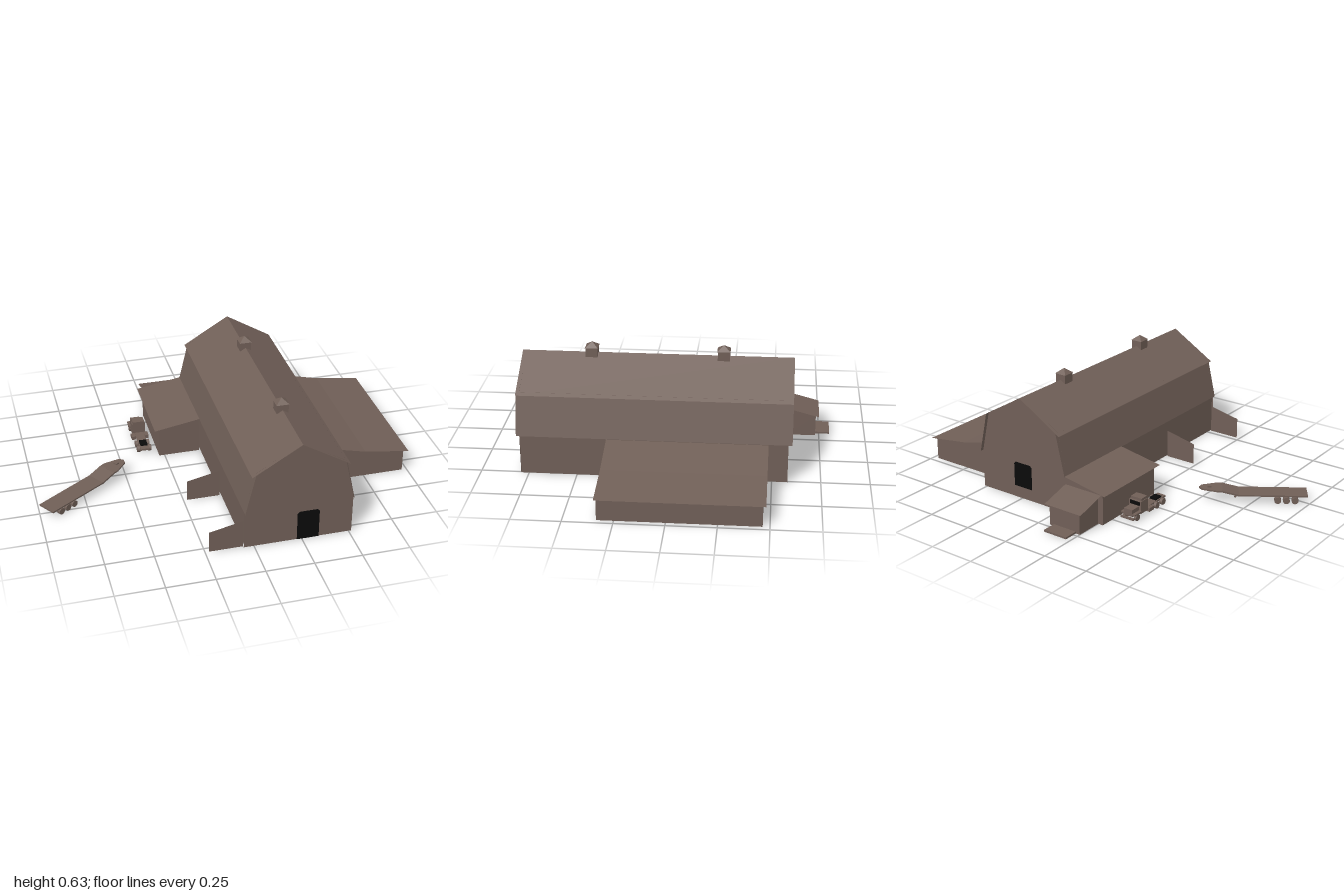
import * as THREE from 'three';

const brown = new THREE.MeshStandardMaterial({ color: 0x705f57, side: THREE.DoubleSide });
brown.name = 'weathered brown';
const black = new THREE.MeshStandardMaterial({ color: 0x0a0a0a, side: THREE.DoubleSide });
black.name = 'black opening';

function add(parent, name, geometry, material = brown, x = 0, y = 0, z = 0) {
  const mesh = new THREE.Mesh(geometry, material);
  mesh.name = name;
  mesh.position.set(x, y, z);
  parent.add(mesh);
  return mesh;
}

// Flat sheet from corner points, fanned from the first corner
function sheet(parent, name, pts) {
  const pos = [];
  for (let i = 1; i < pts.length - 1; i++) pos.push(...pts[0], ...pts[i], ...pts[i + 1]);
  const g = new THREE.BufferGeometry();
  g.setAttribute('position', new THREE.Float32BufferAttribute(pos, 3));
  g.computeVertexNormals();
  return add(parent, name, g);
}

// Upright cross wall with an outline in x and y
const crossWall = (p, name, outline, z) => sheet(p, name, outline.map(([x, y]) => [x, y, z]));

// Sheets following an x/y path between two depths
function sweep(parent, name, path, z0, z1) {
  for (let i = 0; i < path.length - 1; i++) {
    const [a, b] = [path[i], path[i + 1]];
    sheet(parent, name, [[...a, z0], [...a, z1], [...b, z1], [...b, z0]]);
  }
}

// Box given by its minimum and maximum corners
function box(parent, name, a, b, material = brown) {
  const s = a.map((v, i) => b[i] - v);
  return add(parent, name, new THREE.BoxGeometry(...s), material,
    (a[0] + b[0]) / 2, (a[1] + b[1]) / 2, (a[2] + b[2]) / 2);
}

// Thin black opening with clipped upper corners
function opening(parent, name, w, h, x, y, z, turn = 0) {
  const s = new THREE.Shape([[-w / 2, 0], [w / 2, 0], [w / 2, h - 0.01], [w / 2 - 0.01, h],
    [-w / 2 + 0.01, h], [-w / 2, h - 0.01]].map(p => new THREE.Vector2(...p)));
  const g = new THREE.ExtrudeGeometry(s, { depth: 0.006, bevelEnabled: false });
  g.translate(0, 0, -0.003);
  add(parent, name, g, black, x, y, z).rotation.y = turn;
}

function wheel(parent, x, y, z, r, w, alongX) {
  const g = new THREE.CylinderGeometry(r, r, w, 12);
  if (alongX) g.rotateZ(Math.PI / 2); else g.rotateX(Math.PI / 2);
  add(parent, 'wheel', g, brown, x, y, z);
}

function buildBarn() {
  const barn = new THREE.Group();
  barn.name = 'barn';
  const L = -0.053, R = 0.515, mid = 0.232, zf = 0.79, zb = -0.58;
  const gable = [[L, 0], [R, 0], [R, 0.21], [0.465, 0.435], [mid, 0.572], [0, 0.435], [L, 0.21]];
  crossWall(barn, 'frontWall', gable, zf);
  crossWall(barn, 'backWall', gable, zb);
  sweep(barn, 'rightWall', [[-0.045, 0], [-0.045, 0.24]], zb, zf);
  sweep(barn, 'leftWall', [[0.507, 0], [0.507, 0.24]], zb, zf);
  sweep(barn, 'loftFloor', [[-0.045, 0.212], [0.507, 0.212]], zb, zf);

  // Gambrel roof, the upper slopes lapping over the lower ones
  sweep(barn, 'upperRoof', [[-0.02, 0.422], [mid, 0.573], [0.484, 0.422]], -0.6, 0.808);
  sweep(barn, 'lowerRoof', [[L, 0.21], [0, 0.434]], -0.6, 0.808);
  sweep(barn, 'lowerRoof', [[R, 0.21], [0.465, 0.434]], -0.6, 0.808);

  // Doors
  opening(barn, 'frontDoor', 0.115, 0.166, 0.282, 0, zf);
  opening(barn, 'backDoor', 0.115, 0.135, 0.24, 0.065, zb);

  // Inner partitions with doorways
  for (const [z, x] of [[0.6, 0.07], [0.32, 0.12], [0.1, 0.08], [-0.25, 0.1]]) {
    crossWall(barn, 'partition', [[-0.045, 0], [0.507, 0], [0.507, 0.212], [-0.045, 0.212]], z);
    opening(barn, 'innerDoor', 0.1, 0.14, x, 0.01, z);
  }

  // Short wing walls on the right side
  for (const z of [zf - 0.01, 0.32])
    crossWall(barn, 'wingWall', [[L, 0], [L, 0.155], [-0.23, 0.117], [-0.23, 0]], z);

  // Ridge cupolas
  for (const z of [0.445, -0.237]) {
    box(barn, 'cupola', [mid - 0.031, 0.553, z - 0.031], [mid + 0.031, 0.605, z + 0.031]);
    const cap = new THREE.ConeGeometry(0.034 * Math.SQRT2, 0.027, 4).toNonIndexed();
    cap.rotateY(Math.PI / 4);
    cap.computeVertexNormals();
    add(barn, 'cupolaRoof', cap, brown, mid, 0.6175, z);
  }
  return barn;
}

function buildSheds() {
  const sheds = new THREE.Group();
  sheds.name = 'sheds';
  // Large lean-to on the left with a bent roof
  const end = [[0.524, 0], [0.973, 0], [0.973, 0.124], [0.75, 0.155], [0.524, 0.21]];
  for (const z of [0.335, -0.465]) crossWall(sheds, 'largeShedEnd', end, z);
  sweep(sheds, 'largeShedOuterWall', [[0.973, 0], [0.973, 0.124]], -0.465, 0.335);
  sweep(sheds, 'largeShedInnerWall', [[0.524, 0], [0.524, 0.21]], -0.465, 0.335);
  sweep(sheds, 'largeShedRoof', [[0.524, 0.212], [0.75, 0.157], [1, 0.121]], -0.48, 0.343);
  for (const z of [-0.25, -0.02, 0.2])
    opening(sheds, 'largeShedDoor', 0.08, 0.1, 0.524, 0.01, z, Math.PI / 2);

  // Small lean-to on the right
  const small = [[-0.053, 0], [-0.053, 0.211], [-0.28, 0.174], [-0.28, 0]];
  for (const z of [-0.135, -0.58]) crossWall(sheds, 'smallShedEnd', small, z);
  sweep(sheds, 'smallShedOuterWall', [[-0.28, 0], [-0.28, 0.174]], -0.58, -0.135);
  sweep(sheds, 'smallShedRoof', [[-0.053, 0.213], [-0.305, 0.171]], -0.6, -0.118);

  // Back porch room with sloping roof
  const [a, b] = [-0.25, -0.06];
  for (const x of [a, b])
    sheet(sheds, 'annexSide', [[x, 0, -0.58], [x, 0, -0.73], [x, 0.12, -0.73], [x, 0.16, -0.58]]);
  crossWall(sheds, 'annexBack', [[a, 0], [b, 0], [b, 0.12], [a, 0.12]], -0.73);
  sheet(sheds, 'annexRoof', [[-0.27, 0.162, -0.58], [-0.042, 0.162, -0.58],
    [-0.042, 0.117, -0.748], [-0.27, 0.117, -0.748]]);
  box(sheds, 'step', [-0.225, 0, -0.808], [-0.085, 0.01, -0.73]);
  return sheds;
}

function buildTruck() {
  const truck = new THREE.Group();
  truck.name = 'truck';
  truck.position.x = -0.352;
  box(truck, 'frame', [-0.025, 0.026, -0.46], [0.025, 0.036, -0.167]);
  box(truck, 'hood', [-0.026, 0.03, -0.465], [0.026, 0.066, -0.4]);
  box(truck, 'bumper', [-0.04, 0.014, -0.475], [0.04, 0.026, -0.465]);
  box(truck, 'cab', [-0.037, 0.025, -0.405], [0.037, 0.092, -0.345]);
  box(truck, 'cabRoof', [-0.033, 0.092, -0.395], [0.033, 0.105, -0.345]);
  box(truck, 'windscreen', [-0.03, 0.07, -0.409], [0.03, 0.089, -0.403], black);
  box(truck, 'hitchPlate', [-0.02, 0.036, -0.25], [0.02, 0.044, -0.2], black);
  for (const s of [-1, 1]) {
    box(truck, 'fender', [s * 0.034 - 0.01, 0.036, -0.465], [s * 0.034 + 0.01, 0.044, -0.405]);
    box(truck, 'fuelTank', [s * 0.037 - 0.011, 0.016, -0.345], [s * 0.037 + 0.011, 0.036, -0.305]);
    wheel(truck, s * 0.034, 0.018, -0.435, 0.018, 0.014, true);
    for (const z of [-0.26, -0.205]) wheel(truck, s * 0.031, 0.018, z, 0.018, 0.018, true);
  }
  return truck;
}

function buildTrailer() {
  const trailer = new THREE.Group();
  trailer.name = 'trailer';
  trailer.position.set(-0.967, 0, 0.278);
  trailer.rotation.y = 0.595;
  box(trailer, 'deck', [0, 0.042, -0.052], [0.36, 0.05, 0.052]);
  // Raised neck: ramp, then a tapered upper deck
  const ramp = new THREE.BoxGeometry(0.094, 0.009, 0.104);
  add(trailer, 'ramp', ramp, brown, 0.4, 0.056, 0).rotation.z = 0.24;
  const s = new THREE.Shape([[0.44, -0.052], [0.47, -0.052], [0.55, -0.025], [0.565, 0],
    [0.55, 0.025], [0.47, 0.052], [0.44, 0.052]].map(p => new THREE.Vector2(...p)));
  const g = new THREE.ExtrudeGeometry(s, { depth: 0.008, bevelEnabled: false }).rotateX(-Math.PI / 2);
  add(trailer, 'upperDeck', g, brown, 0, 0.063, 0);
  box(trailer, 'neckBlock', [0.5, 0.071, -0.01], [0.52, 0.078, 0.01]);
  for (const z of [-0.025, 0.025]) {
    box(trailer, 'beam', [0.02, 0.034, z - 0.004], [0.36, 0.042, z + 0.004]);
    box(trailer, 'landingLeg', [0.37, 0.025, z - 0.005], [0.38, 0.05, z + 0.005]);
  }
  for (const u of [0.065, 0.11, 0.155])
    for (const z of [-0.037, 0.037]) wheel(trailer, u, 0.018, z, 0.018, 0.024, false);
  return trailer;
}

export function createModel() {
  const model = new THREE.Group();
  model.name = 'farmyard';
  model.add(buildBarn(), buildSheds(), buildTruck(), buildTrailer());
  return model;
}
